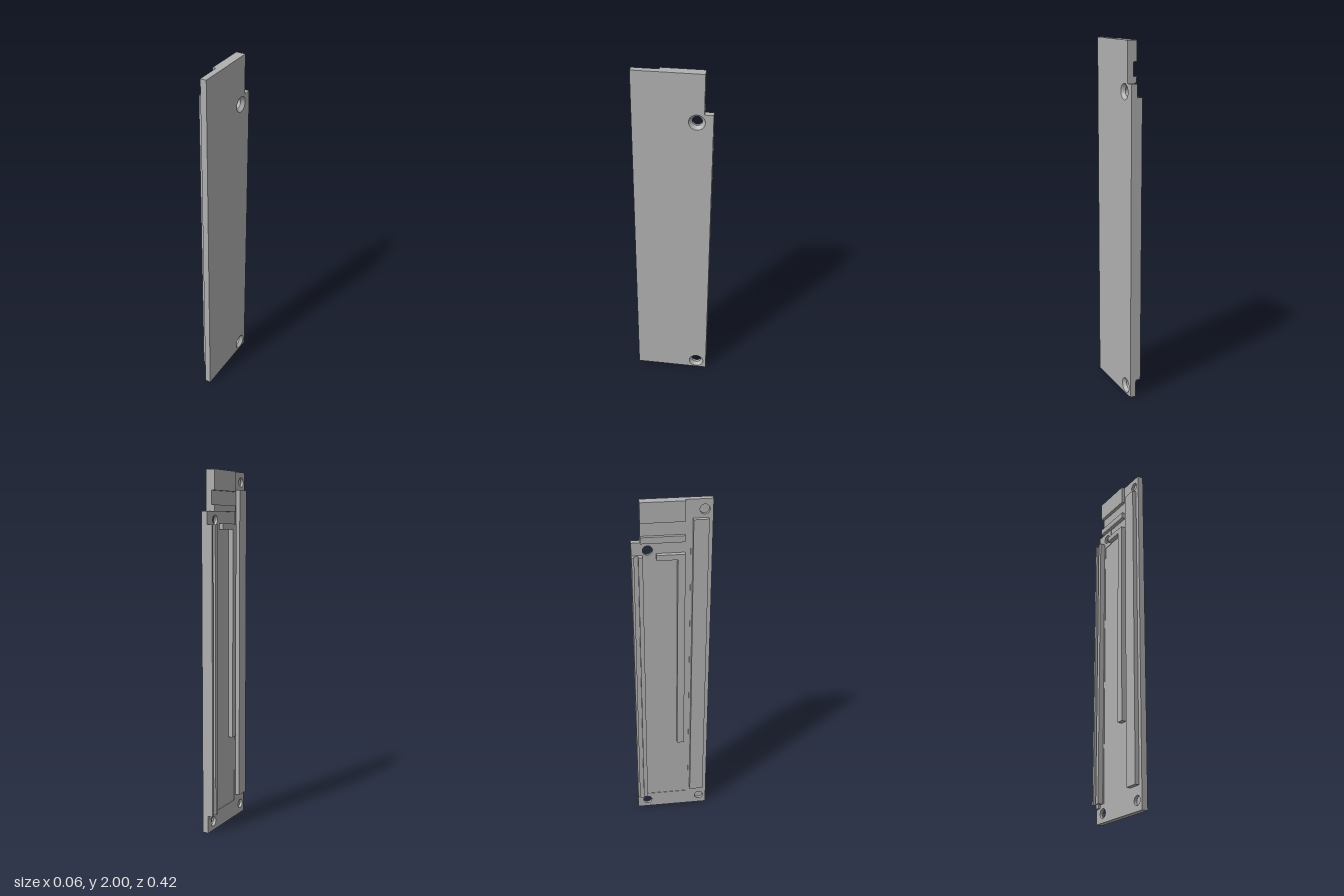
import * as THREE from 'three';

export function createModel() {
  const model = new THREE.Group();
  model.name = 'coverPlate';
  const grey = new THREE.MeshStandardMaterial({ color: 0xb0b0b0, side: THREE.DoubleSide });
  grey.name = 'plain grey';

  const add = (geometry, name) => {
    const mesh = new THREE.Mesh(geometry, grey);
    mesh.name = name;
    model.add(mesh);
    return mesh;
  };

  // Screw holes as [z, y]
  const holes = [[0.17, 1.945], [-0.125, 1.735], [0.17, 0.055], [-0.15, 0.05]];
  const holeRadius = 0.026;
  const sinkRadius = 0.043;

  // Outline points are [z, y]; the shape is drawn in (-z, y) and turned to face +x
  const toPoints = (list) => list.map(([z, y]) => new THREE.Vector2(-z, y));
  const outline = [
    [0.213, 0], [-0.21, 0], [-0.21, 1.78], [-0.163, 1.78], [-0.163, 2], [0.213, 2],
  ];
  const pocket = [
    [0.1, 0.1], [-0.145, 0.1], [-0.145, 1.68], [-0.08, 1.68], [-0.08, 1.78], [0.1, 1.78],
  ];

  const layer = (x0, x1, radius, name, withPocket) => {
    const shape = new THREE.Shape(toPoints(outline));
    for (const [z, y] of holes) {
      shape.holes.push(new THREE.Path().absarc(-z, y, radius, 0, Math.PI * 2, true));
    }
    if (withPocket) shape.holes.push(new THREE.Path(toPoints(pocket)));
    const geometry = new THREE.ExtrudeGeometry(shape, {
      depth: x1 - x0, bevelEnabled: false, curveSegments: 24,
    });
    geometry.rotateY(Math.PI / 2).translate(x0, 0, 0);
    add(geometry, name);
  };

  // Plate in three layers: shallow inner pocket, core, countersunk outer face
  layer(-0.003, 0, holeRadius, 'pocketRim', true);
  layer(0, 0.013, holeRadius, 'plateCore', false);
  layer(0.013, 0.031, sinkRadius, 'plateFace', false);

  // Conical countersinks
  holes.forEach(([z, y]) => {
    const cone = new THREE.CylinderGeometry(sinkRadius, holeRadius, 0.018, 32, 1, true);
    cone.rotateZ(-Math.PI / 2).translate(0.022, y, z);
    add(cone, 'countersink');
  });

  // Raised parts on the inner side: [name, outer x, z0, z1, y0, y1]
  const root = 0.004;
  const raised = [
    ['wideRail', -0.027, 0.11, 0.19, 0.13, 1.9],
    ['edgeRailOuter', -0.032, -0.21, -0.197, 0.1, 1.71],
    ['edgeRailGroove', -0.015, -0.197, -0.175, 0.08, 1.71],
    ['edgeRailInner', -0.032, -0.175, -0.152, 0.1, 1.71],
    ['topBlock', -0.022, -0.163, 0.07, 1.89, 2],
    ['crossRidge', -0.022, -0.163, 0.07, 1.78, 1.815],
    ['shortRidge', -0.027, -0.08, 0.07, 1.685, 1.715],
    ['centreStrip', -0.027, 0.03, 0.07, 0.5, 1.685],
  ];
  for (const [name, x, z0, z1, y0, y1] of raised) {
    const box = new THREE.BoxGeometry(root - x, y1 - y0, z1 - z0);
    box.translate((root + x) / 2, (y0 + y1) / 2, (z0 + z1) / 2);
    add(box, name);
  }

  return model;
}
